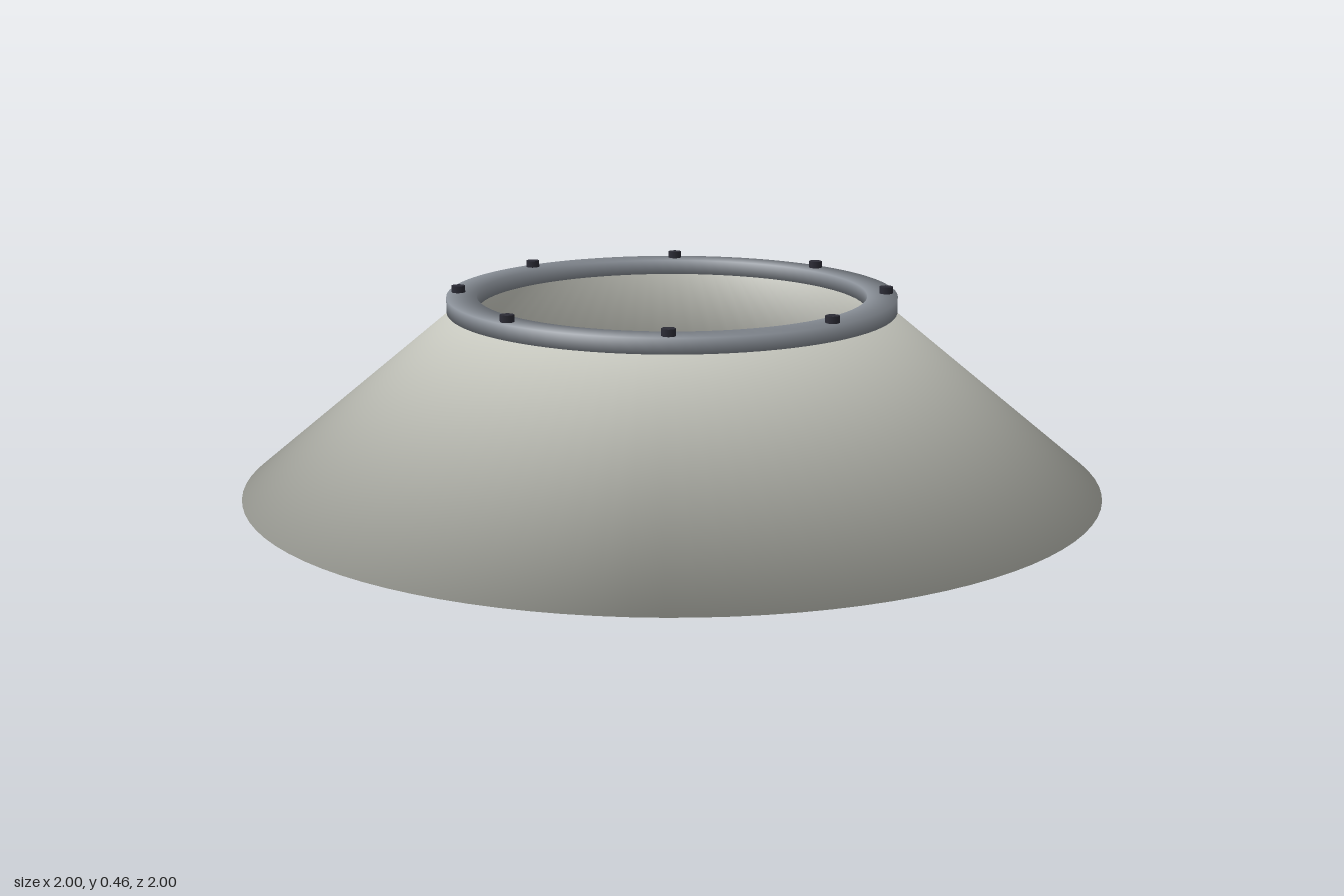
import * as THREE from 'three';

const SEGMENTS = 96;

// Revolves a closed [radius, y] section (counter-clockwise) with softly blended corner normals.
function revolvedBand(section) {
  const n = section.length;
  const points = [...section, section[0]].map(([r, y]) => new THREE.Vector2(r, y));
  const geometry = new THREE.LatheGeometry(points, SEGMENTS);

  // unit normal of each side, then the equal average at each corner
  const sides = section.map((_, j) => {
    const d = points[j + 1].clone().sub(points[j]).normalize();
    return new THREE.Vector2(d.y, -d.x);
  });
  const corners = sides.map((s, j) => s.clone().add(sides[(j + n - 1) % n]).normalize());

  const normal = geometry.attributes.normal;
  for (let i = 0; i <= SEGMENTS; i++) {
    const a = (i / SEGMENTS) * Math.PI * 2;
    for (let j = 0; j <= n; j++) {
      const c = corners[j % n];
      normal.setXYZ(i * (n + 1) + j, c.x * Math.sin(a), c.y, c.x * Math.cos(a));
    }
  }
  return geometry;
}

export function createModel() {
  const model = new THREE.Group();
  model.name = 'conicalShade';

  const material = (name, color) => {
    const m = new THREE.MeshStandardMaterial({ color });
    m.name = name;
    return m;
  };
  const shadeGrey = material('warm grey', 0xc8c9c0);
  const ringGrey = material('steel grey', 0x8a9098);
  const boltDark = material('dark bolt', 0x2c2c36);

  const add = (name, geometry, mat, parent = model) => {
    const mesh = new THREE.Mesh(geometry, mat);
    mesh.name = name;
    parent.add(mesh);
    return mesh;
  };

  // Thin flared cone, open at both ends
  add('flaredSkirt', revolvedBand([[1, 0], [0.5, 0.415], [0.482, 0.415], [0.982, 0]]), shadeGrey);

  // Flat collar around the top opening
  add('collarRing', revolvedBand([[0.522, 0.41], [0.522, 0.445], [0.452, 0.445], [0.452, 0.41]]), ringGrey);

  // Eight bolts spaced round the collar
  const bolts = new THREE.Group();
  bolts.name = 'collarBolts';
  model.add(bolts);
  const boltGeometry = new THREE.CylinderGeometry(0.016, 0.016, 0.03, 8);
  for (let i = 0; i < 8; i++) {
    const a = (i / 8) * Math.PI * 2;
    const bolt = add('bolt', boltGeometry, boltDark, bolts);
    bolt.position.set(Math.sin(a) * 0.497, 0.446, Math.cos(a) * 0.497);
  }

  return model;
}
